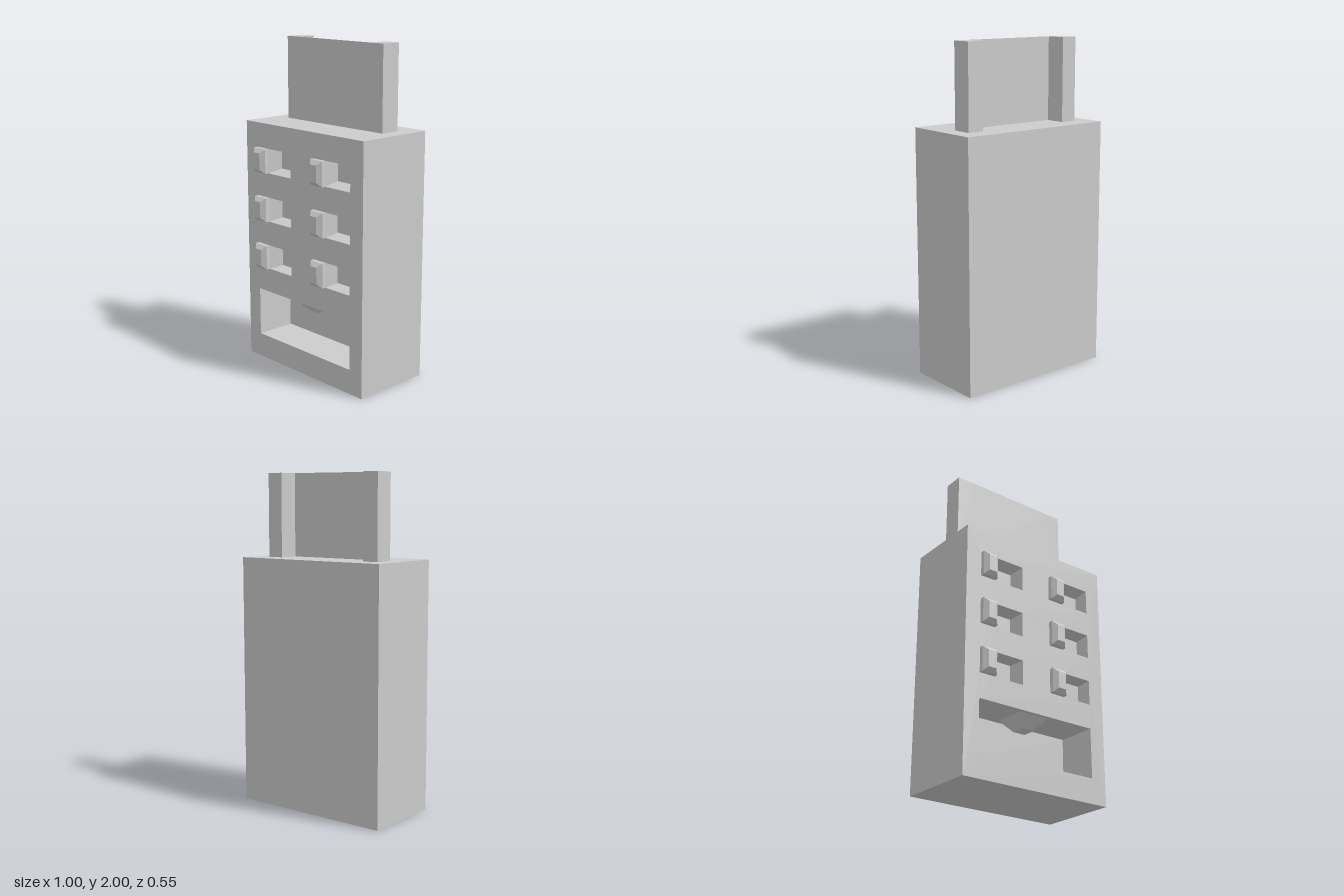
import * as THREE from 'three';

const material = new THREE.MeshStandardMaterial({ color: 0xcccccc, flatShading: true });
const thinMaterial = new THREE.MeshStandardMaterial({ color: 0xcccccc, side: THREE.DoubleSide });

// Skin through rectangles [x0, x1, y0, y1, z], closed on the last one.
// Rising z makes a raised block, falling z makes a recess.
function loft(rects) {
  const rings = rects.map(([x0, x1, y0, y1, z]) => [[x0, y0, z], [x1, y0, z], [x1, y1, z], [x0, y1, z]]);
  const points = [];
  const quad = (a, b, c, d) => points.push(...a, ...b, ...c, ...a, ...c, ...d);
  for (let i = 0; i + 1 < rings.length; i++) {
    for (let j = 0; j < 4; j++) {
      const k = (j + 1) % 4;
      quad(rings[i][j], rings[i][k], rings[i + 1][k], rings[i + 1][j]);
    }
  }
  quad(...rings[rings.length - 1]);
  const geometry = new THREE.BufferGeometry();
  geometry.setAttribute('position', new THREE.Float32BufferAttribute(points, 3));
  geometry.computeVertexNormals();
  return geometry;
}

function rectangle(path, x0, x1, y0, y1) {
  path.moveTo(x0, y0);
  path.lineTo(x1, y0);
  path.lineTo(x1, y1);
  path.lineTo(x0, y1);
  path.closePath();
  return path;
}

export function createModel() {
  const model = new THREE.Group();
  const add = (name, geometry, mat = material) => {
    const mesh = new THREE.Mesh(geometry, mat);
    mesh.name = name;
    model.add(mesh);
    return mesh;
  };

  const front = 0.225;
  const face = rectangle(new THREE.Shape(), -0.5, 0.5, 0, 1.5);
  const cut = (...r) => face.holes.push(rectangle(new THREE.Path(), ...r));

  // Cabinet sides and back
  add('cabinetShell', loft([[-0.5, 0.5, 0, 1.5, -front], [-0.5, 0.5, 0, 1.5, 0.275]]).rotateY(Math.PI));

  // Two columns of three buttons, each beside a tapered slot
  for (const [x, insetX] of [[-0.4, 0.025], [0.1, 0.012]]) {
    for (const [y, insetY] of [[0.6, 0.012], [0.9, 0.018], [1.2, 0.022]]) {
      const top = y + 0.15;
      const b = 0.025;
      add('button', loft([
        [x, x + 0.1, y, top, front],
        [x, x + 0.1, y, top, front + b],
        [x + b, x + 0.1 - b, y + b, top - b, front + 2 * b],
      ]));
      cut(x + 0.1, x + 0.3, y, top);
      add('slot', loft([
        [x + 0.1, x + 0.3, y, top, front],
        [x + 0.1 + insetX, x + 0.3 - insetX, y + insetY, top - insetY, front - 0.085],
      ]));
    }
  }

  // Dispensing tray with a tapered nozzle hanging from its ceiling
  cut(-0.4, 0.4, 0.15, 0.45);
  add('tray', loft([[-0.4, 0.4, 0.15, 0.45, front], [-0.4, 0.4, 0.15, 0.45, -0.025]]));
  const nozzle = add('nozzle', loft([[-0.1, 0.1, 0, 0.2, 0], [-0.04, 0.04, 0.06, 0.14, 0.07]]).rotateX(Math.PI / 2));
  nozzle.position.y = 0.45;

  // Front face with all openings
  add('cabinetFront', new THREE.ShapeGeometry(face)).position.z = front;

  // Sign on two posts
  for (const side of [-1, 1]) {
    add('signPost', new THREE.BoxGeometry(0.1, 0.5, 0.125)).position.set(side * 0.35, 1.75, -0.0875);
  }
  add('signPanel', new THREE.PlaneGeometry(0.6, 0.5), thinMaterial).position.set(0, 1.75, -0.025);

  return model;
}
